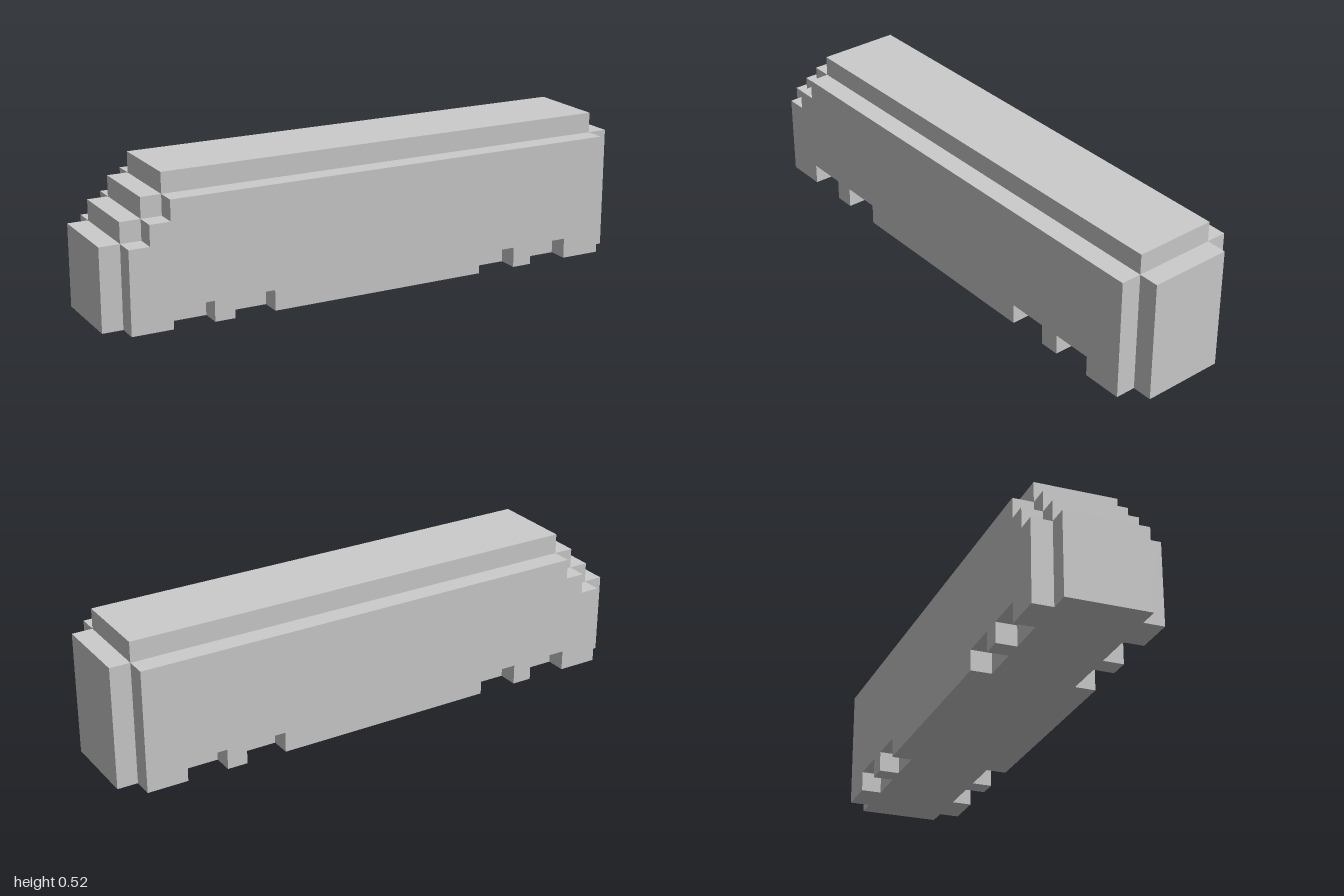
import * as THREE from 'three';

const U = 2 / 27; // one block
const material = new THREE.MeshStandardMaterial({ color: 0xcccccc, flatShading: true });

// Extrudes a side profile, given in blocks from the nose end, between two depths
function slab(name, profile, z0, z1) {
  const shape = new THREE.Shape(profile.map(([x, y]) => new THREE.Vector2((x - 13.5) * U, y * U)));
  const geometry = new THREE.ExtrudeGeometry(shape, { depth: (z1 - z0) * U, bevelEnabled: false });
  geometry.translate(0, 0, z0 * U);
  const mesh = new THREE.Mesh(geometry, material);
  mesh.name = name;
  return mesh;
}

export function createModel() {
  const group = new THREE.Group();
  group.name = 'steppedCarriage';

  // Central body with raised roof, stepped nose and flat tail
  group.add(slab('centralBody', [
    [0, 0], [27, 0], [27, 6], [26, 6], [26, 7], [3, 7],
    [3, 6], [2, 6], [2, 5], [1, 5], [1, 4], [0, 4],
  ], -2, 2));

  // Side walls, one step lower, with four wheel notches along the bottom
  const wall = [[1, 0]];
  for (const x of [3, 6, 19, 22]) wall.push([x, 0], [x, 1], [x + 2, 1], [x + 2, 0]);
  wall.push([26, 0], [26, 6], [3, 6], [3, 5], [2, 5], [2, 4], [1, 4]);
  group.add(slab('leftWall', wall, 2, 3), slab('rightWall', wall, -3, -2));
  group.children[1].name = 'frontWall';
  group.children[2].name = 'backWall';

  return group;
}
